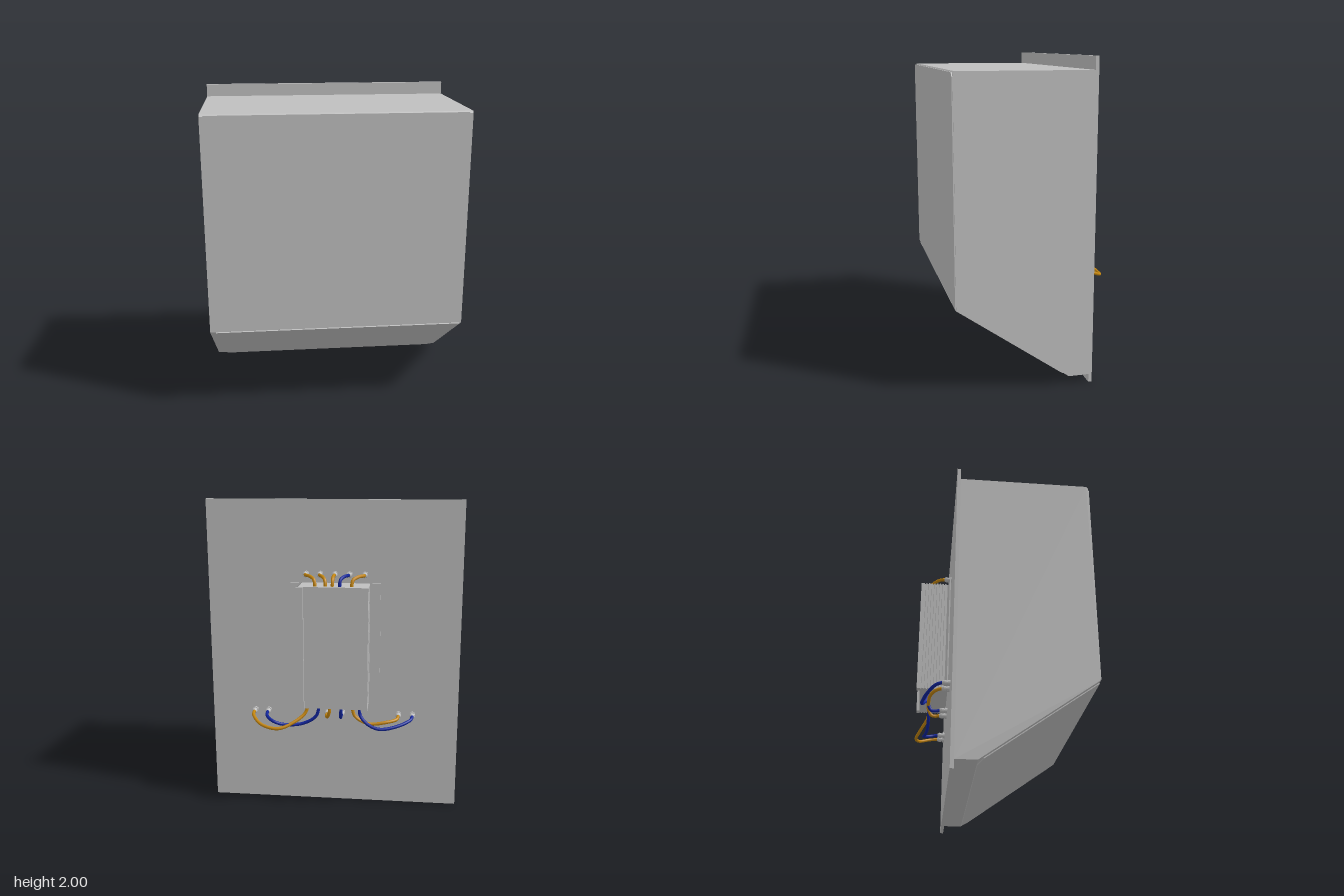
import * as THREE from 'three';

export function createModel() {
  const group = new THREE.Group();
  const metal = new THREE.MeshStandardMaterial({ color: 0xbfbfbf });
  metal.name = 'grey metal';
  const gold = new THREE.MeshStandardMaterial({ color: 0xc4860f });
  gold.name = 'amber wire';
  const blue = new THREE.MeshStandardMaterial({ color: 0x10249a });
  blue.name = 'blue wire';

  const add = (name, geometry, material, parent = group) => {
    const mesh = new THREE.Mesh(geometry, material);
    mesh.name = name;
    parent.add(mesh);
    return mesh;
  };
  const polygon = (points) => new THREE.Shape(points.map(([x, y]) => new THREE.Vector2(x, y)));
  const extrude = (points, depth) =>
    new THREE.ExtrudeGeometry(polygon(points), { depth, bevelEnabled: false });

  // Flat mounting plate behind the cover
  add('backPlate', new THREE.BoxGeometry(1.62, 2, 0.022), metal).position.set(0, 1, -0.314);

  // Cover: side profile (z, y) swept across the width
  const cover = extrude([
    [-0.303, 0.052], [-0.175, 0.052], [0.524, 0.545], [0.524, 1.908],
    [0.512, 1.92], [-0.303, 1.92],
  ], 1.62);
  cover.translate(0, 0, -0.81).rotateY(-Math.PI / 2);
  add('cover', cover, metal);

  // Thin front sheet with clipped top corners
  add('frontPanel', extrude([
    [-0.805, 0.552], [0.805, 0.552], [0.805, 1.89], [0.785, 1.914],
    [-0.785, 1.914], [-0.805, 1.89],
  ], 0.006), metal).position.z = 0.524;

  // Thin sheet on the sloping underside, clipped at its lower corners
  const slope = Math.atan2(0.699, 0.493);
  const underside = add('slopingPanel', extrude([
    [-0.72, 0], [0.75, 0], [0.8, 0.05], [0.8, 0.855], [-0.775, 0.855], [-0.775, 0.04],
  ], 0.006), metal);
  underside.position.set(0, 0.052, -0.175);
  underside.rotation.x = slope;

  // Heat sink: ribbed cross-section (x, distance behind) extruded upwards
  const midX = -0.0125;
  const half = [[0.218, 0.34]];
  const teeth = 9;
  for (let i = 0; i < teeth; i++) {
    const d = 0.352 + i * 0.0185;
    half.push([0.21, d], [0.21, d + 0.008], [0.222, d + 0.008], [0.222, d + 0.0165]);
  }
  half.push([0.222, 0.53], [0.18, 0.53], [0.18, 0.51]);
  const section = [
    ...half.map(([x, d]) => [midX + x, d]),
    ...half.slice().reverse().map(([x, d]) => [midX - x, d]),
  ];
  const sink = new THREE.Group();
  sink.name = 'heatSink';
  sink.position.y = 0.7;
  group.add(sink);
  const body = extrude(section, 0.78);
  body.rotateX(-Math.PI / 2);
  add('ribbedBody', body, metal, sink);
  add('mountingFlange', new THREE.BoxGeometry(0.575, 0.78, 0.008), metal, sink)
    .position.set(midX, 0.39, -0.336);

  // Cable gland: hexagonal nut, neck, second nut and domed cap
  const glandParts = [
    ['hexNut', new THREE.CylinderGeometry(0.021, 0.021, 0.014, 6), 0.007],
    ['neck', new THREE.CylinderGeometry(0.014, 0.014, 0.008, 16), 0.018],
    ['capNut', new THREE.CylinderGeometry(0.02, 0.02, 0.014, 6), 0.029],
    ['cap', new THREE.CylinderGeometry(0.012, 0.018, 0.014, 16), 0.043],
  ];
  const gland = (x, y) => {
    const g = new THREE.Group();
    g.name = 'cableGland';
    for (const [name, geometry, along] of glandParts) {
      add(name, geometry, metal, g).position.y = along;
    }
    g.position.set(x, y, -0.325);
    g.rotation.x = -Math.PI / 2;
    group.add(g);
  };
  const wire = (name, points, material) => {
    const curve = new THREE.CatmullRomCurve3(points.map((p) => new THREE.Vector3(...p)));
    add(name, new THREE.TubeGeometry(curve, 40, 0.0105, 10), material);
  };

  // Short wires from the upper glands into the top of the heat sink
  const upper = [
    [-0.2, -0.13, gold], [-0.1, -0.055, blue], [-0.01, -0.01, gold],
    [0.085, 0.035, gold], [0.175, 0.1, gold],
  ];
  for (const [x, end, material] of upper) {
    const at = (t) => x + (end - x) * t;
    gland(x, 1.535);
    wire('upperWire', [
      [x, 1.535, -0.35], [at(0.08), 1.536, -0.39], [at(0.5), 1.535, -0.43],
      [at(0.9), 1.52, -0.462], [end, 1.495, -0.472], [end, 1.46, -0.472],
    ], material);
  }

  // Looping wires from the lower glands into the bottom of the heat sink
  const lower = [
    [0.525, gold, [[0.515, 0.61, -0.43], [0.45, 0.575, -0.5], [0.34, 0.56, -0.525],
      [0.25, 0.59, -0.495], [0.17, 0.65, -0.45], [0.15, 0.72, -0.44]]],
    [0.435, blue, [[0.43, 0.61, -0.42], [0.38, 0.59, -0.47], [0.31, 0.57, -0.468],
      [0.19, 0.575, -0.45], [0.1, 0.63, -0.445], [0.08, 0.72, -0.445]]],
    [0.04, gold, [[0.04, 0.615, -0.4], [0.03, 0.62, -0.43], [0.015, 0.66, -0.45], [0.01, 0.72, -0.45]]],
    [-0.055, blue, [[-0.055, 0.615, -0.4], [-0.056, 0.62, -0.43], [-0.06, 0.66, -0.45], [-0.06, 0.72, -0.45]]],
    [-0.425, gold, [[-0.415, 0.61, -0.41], [-0.35, 0.6, -0.442], [-0.24, 0.59, -0.45],
      [-0.15, 0.64, -0.45], [-0.13, 0.72, -0.45]]],
    [-0.515, blue, [[-0.505, 0.61, -0.41], [-0.43, 0.585, -0.46], [-0.31, 0.57, -0.492],
      [-0.23, 0.6, -0.48], [-0.185, 0.65, -0.46], [-0.18, 0.72, -0.455]]],
  ];
  for (const [x, material, path] of lower) {
    gland(x, 0.62);
    wire('lowerWire', [[x, 0.62, -0.35], [x, 0.62, -0.375], ...path], material);
  }

  return group;
}
